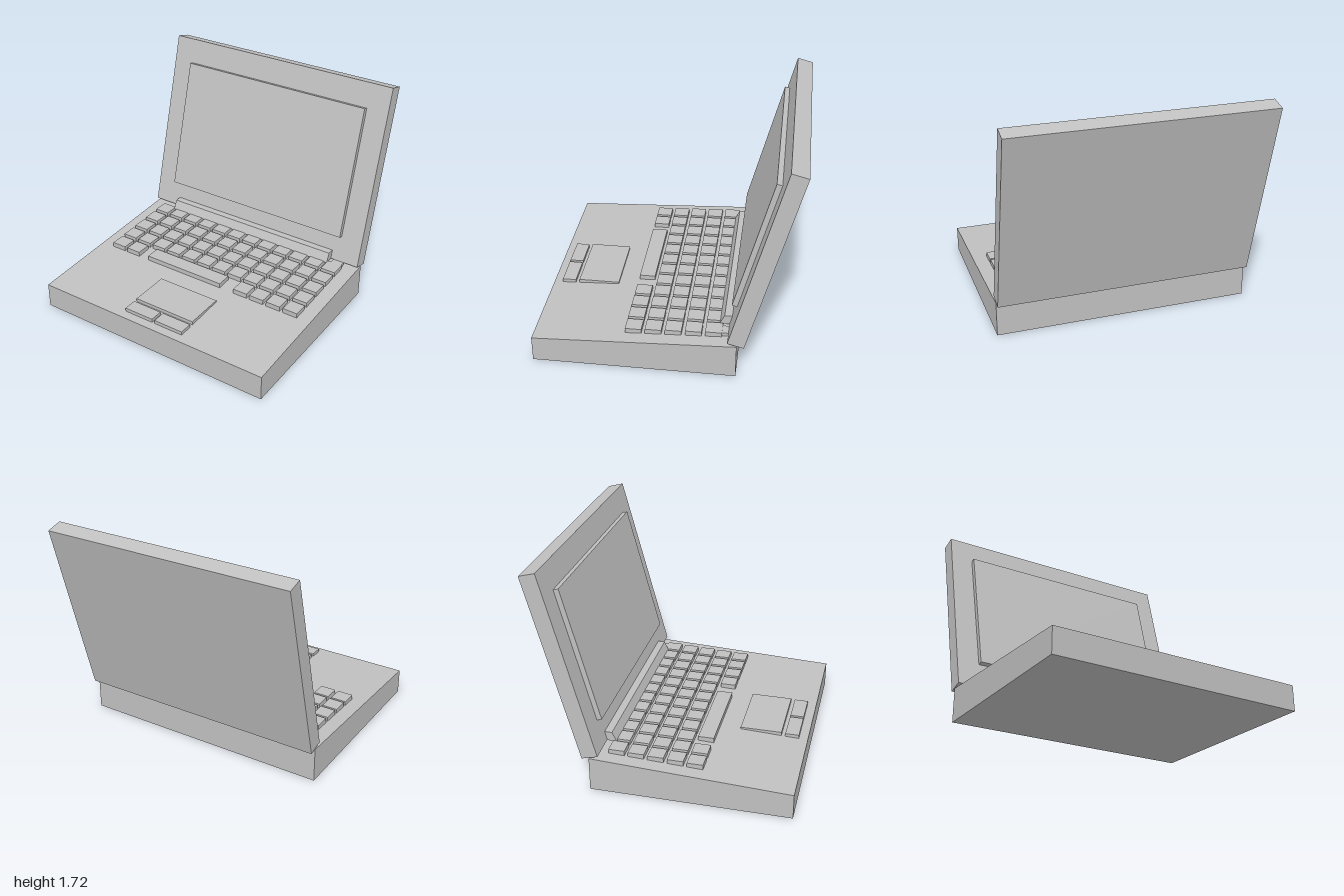
import * as THREE from 'three';

const grey = new THREE.MeshStandardMaterial({ color: 0xc0c0c0 });
grey.name = 'plain grey';

// Box given by its minimum and maximum on each axis
function box(name, x0, x1, y0, y1, z0, z1) {
  const mesh = new THREE.Mesh(new THREE.BoxGeometry(x1 - x0, y1 - y0, z1 - z0), grey);
  mesh.position.set((x0 + x1) / 2, (y0 + y1) / 2, (z0 + z1) / 2);
  mesh.name = name;
  return mesh;
}

// Side profile of [z, y] points, extruded across x and centred
function sideProfile(name, points, width) {
  const shape = new THREE.Shape(points.map(([z, y]) => new THREE.Vector2(-z, y)));
  const geometry = new THREE.ExtrudeGeometry(shape, { depth: width, bevelEnabled: false });
  geometry.translate(0, 0, -width / 2).rotateY(Math.PI / 2);
  const mesh = new THREE.Mesh(geometry, grey);
  mesh.name = name;
  return mesh;
}

export function createModel() {
  const model = new THREE.Group();
  model.name = 'laptop';

  // Wedge-shaped body, higher at the hinge
  model.add(sideProfile('base', [[0.982, 0], [0.982, 0.2], [-0.547, 0.27], [-0.547, 0]], 2));

  // Keys: five stepped rows, the front one broken by the space bar
  const keyboard = new THREE.Group();
  keyboard.name = 'keyboard';
  const keyW = 0.123;
  for (let row = 0; row < 5; row++) {
    const z = -0.43 + row * 0.15;
    const top = 0.298 - row * 0.0068;
    for (let col = 0; col < 12; col++) {
      if (row === 4 && col > 1 && col < 8) continue;
      const x = -0.887 + col * 0.15;
      keyboard.add(box('key', x, x + keyW, top - 0.065, top, z, z + keyW));
    }
    if (row === 4) keyboard.add(box('spaceBar', -0.52, 0.188, top - 0.065, top, z, z + keyW));
  }
  keyboard.add(box('rearKey', 0.787, 0.875, 0.25, 0.293, -0.49, -0.43));
  model.add(keyboard);

  // Pointing pad with two buttons
  model.add(box('touchPad', -0.265, 0.263, 0.19, 0.238, 0.453, 0.775));
  model.add(box('rightPadButton', -0.265, -0.012, 0.18, 0.232, 0.805, 0.912));
  model.add(box('leftPadButton', 0.012, 0.263, 0.18, 0.232, 0.805, 0.912));

  // Hinge cover
  model.add(sideProfile('hinge',
    [[-0.404, 0.293], [-0.439, 0.366], [-0.52, 0.366], [-0.5, 0.293]], 1.525));

  // Lid leaning back, pivoting on its lower front edge
  const lid = new THREE.Group();
  lid.name = 'lid';
  lid.add(box('lidShell', -1, 1, 0, 1.475, -0.127, 0));
  lid.add(box('screen', -0.82, 0.82, 0.209, 1.275, -0.02, 0.04));
  lid.position.set(0, 0.296, -0.478);
  lid.rotation.x = -THREE.MathUtils.degToRad(14.9);
  model.add(lid);

  return model;
}
